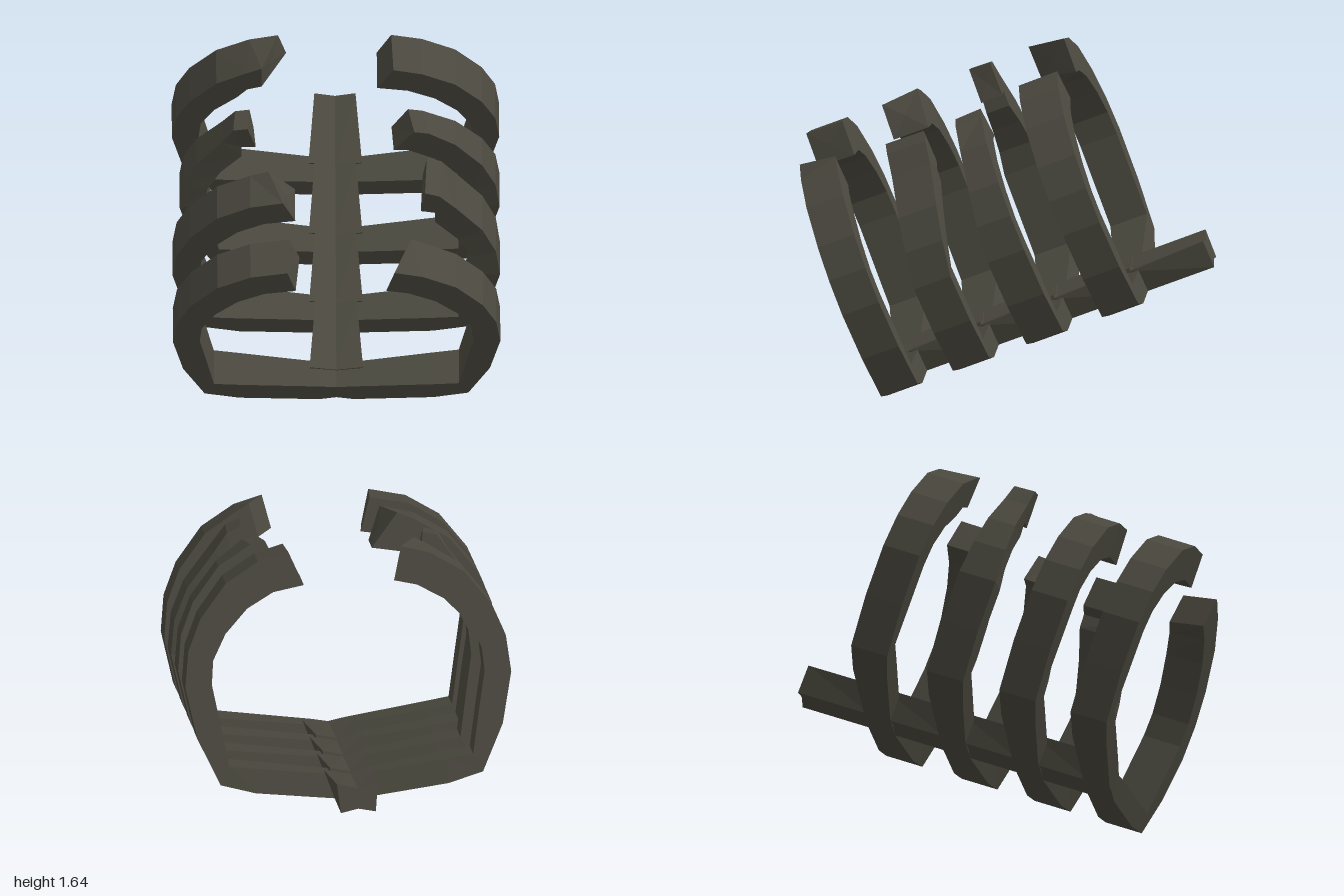
import * as THREE from 'three';

// Skin a list of equal-length rings (counter-clockwise seen from the far end) and cap both ends
function loft(rings) {
  const pos = [];
  const tri = (a, b, c) => pos.push(...a, ...b, ...c);
  const n = rings[0].length;
  for (let i = 0; i < rings.length - 1; i++) {
    for (let j = 0; j < n; j++) {
      const k = (j + 1) % n;
      const [a, b, c, d] = [rings[i][j], rings[i][k], rings[i + 1][k], rings[i + 1][j]];
      tri(a, b, c);
      tri(a, c, d);
    }
  }
  const first = rings[0], last = rings[rings.length - 1];
  const mid = (r) => [0, 1, 2].map((q) => r.reduce((s, p) => s + p[q], 0) / n);
  for (let j = 0; j < n; j++) {
    const k = (j + 1) % n;
    tri(mid(first), first[k], first[j]);
    tri(mid(last), last[j], last[k]);
  }
  const g = new THREE.BufferGeometry();
  g.setAttribute('position', new THREE.Float32BufferAttribute(pos, 3));
  g.computeVertexNormals();
  return g;
}

// Rib outline: [outer x, outer y, inner x, inner y, half depth, bend weight]
const STATIONS = [
  [0, 0.21, 0, 0.305, 0.065, 0],
  [0.085, 0.2, 0.085, 0.32, 0.07, 0],
  [0.47, 0.25, 0.47, 0.372, 0.09, 0],
  [0.64, 0.3, 0.595, 0.39, 0.095, 0],
  [0.745, 0.535, 0.63, 0.6, 0.095, 0],
  [0.795, 0.79, 0.665, 0.8, 0.095, 0],
  [0.775, 0.97, 0.655, 0.92, 0.095, 0.3],
  [0.71, 1.13, 0.59, 1.05, 0.095, 0.6],
  [0.58, 1.3, 0.48, 1.17, 0.095, 0.9],
  [0.42, 1.4, 0.35, 1.245, 0.095, 1],
];

// end = tip x values: outer front, outer back, inner front, inner back
function halfRib(side, z, { end, bend = [0, 0], widen = 1, top = 1.44 }) {
  const ring = (xs, yo, yi, h, w) => {
    const f = z + h + bend[0] * w, b = z - h + bend[1] * w;
    const r = [[xs[0], yo, f], [xs[1], yo, b], [xs[3], yi, b], [xs[2], yi, f]]
      .map(([x, y, zz]) => [x * side, y, zz]);
    return side > 0 ? r : r.reverse();
  };
  const rings = STATIONS.map(([xo, yo, xi, yi, h, w], i) => {
    let xs = [xo, xo, xi, xi].map((x) => x * widen);
    if (i === STATIONS.length - 1) xs = xs.map((x, q) => Math.max(x, end[q] + 0.07));
    return ring(xs, yo, yi, h, w);
  });
  rings.push(ring(end, top, top - 0.168, 0.095, 1));
  return loft(rings);
}

const RIBS = [
  { z: 0.415, left: { end: [0.28, 0.36, 0.24, 0.32] }, right: { end: [0.24, 0.23, 0.2, 0.18] } },
  {
    z: 0.04,
    left: { end: [0.43, 0.44, 0.41, 0.42], bend: [-0.08, -0.09], top: 1.43 },
    right: { end: [0.26, 0.33, 0.2, 0.2], bend: [-0.02, -0.01] },
  },
  {
    z: -0.345,
    left: { end: [0.38, 0.35, 0.28, 0.27], bend: [-0.05, 0.01], top: 1.415 },
    right: { end: [0.43, 0.42, 0.39, 0.4], bend: [-0.07, 0.01], widen: 0.955, top: 1.415 },
  },
  {
    z: -0.74,
    left: { end: [0.28, 0.27, 0.2, 0.2], bend: [0.01, 0] },
    right: { end: [0.36, 0.28, 0.36, 0.24] },
  },
];

export function createModel() {
  const model = new THREE.Group();
  model.name = 'ribcage';
  const bone = new THREE.MeshStandardMaterial({ color: 0x4a483e, flatShading: true });
  bone.name = 'dark bone';

  // Everything is built upright, then leaned back as one piece
  const body = new THREE.Group();
  body.name = 'tiltedRibcage';
  body.rotation.x = THREE.MathUtils.degToRad(21.5);
  model.add(body);

  const add = (name, geometry) => {
    const mesh = new THREE.Mesh(geometry, bone);
    mesh.name = name;
    body.add(mesh);
  };

  // Spine segment section, notched along its top and bottom
  const section = (w, z, y) => [
    [0, 0.218, z], [0.085, 0.2, z], [w, y, z],
    [0, y - 0.025, z], [-w, y, z], [-0.085, 0.2, z],
  ];

  RIBS.forEach((rib, i) => {
    add(`leftRib${i + 1}`, halfRib(1, rib.z, rib.left));
    add(`rightRib${i + 1}`, halfRib(-1, rib.z, rib.right));
    // Each vertebra widens toward the rib in front of it
    const back = i < 3 ? RIBS[i + 1].z - 0.03 : -1.156;
    add(`vertebra${i + 1}`, loft([section(0.1, back, 0.345), section(0.13, rib.z - 0.03, 0.335)]));
  });
  return model;
}
